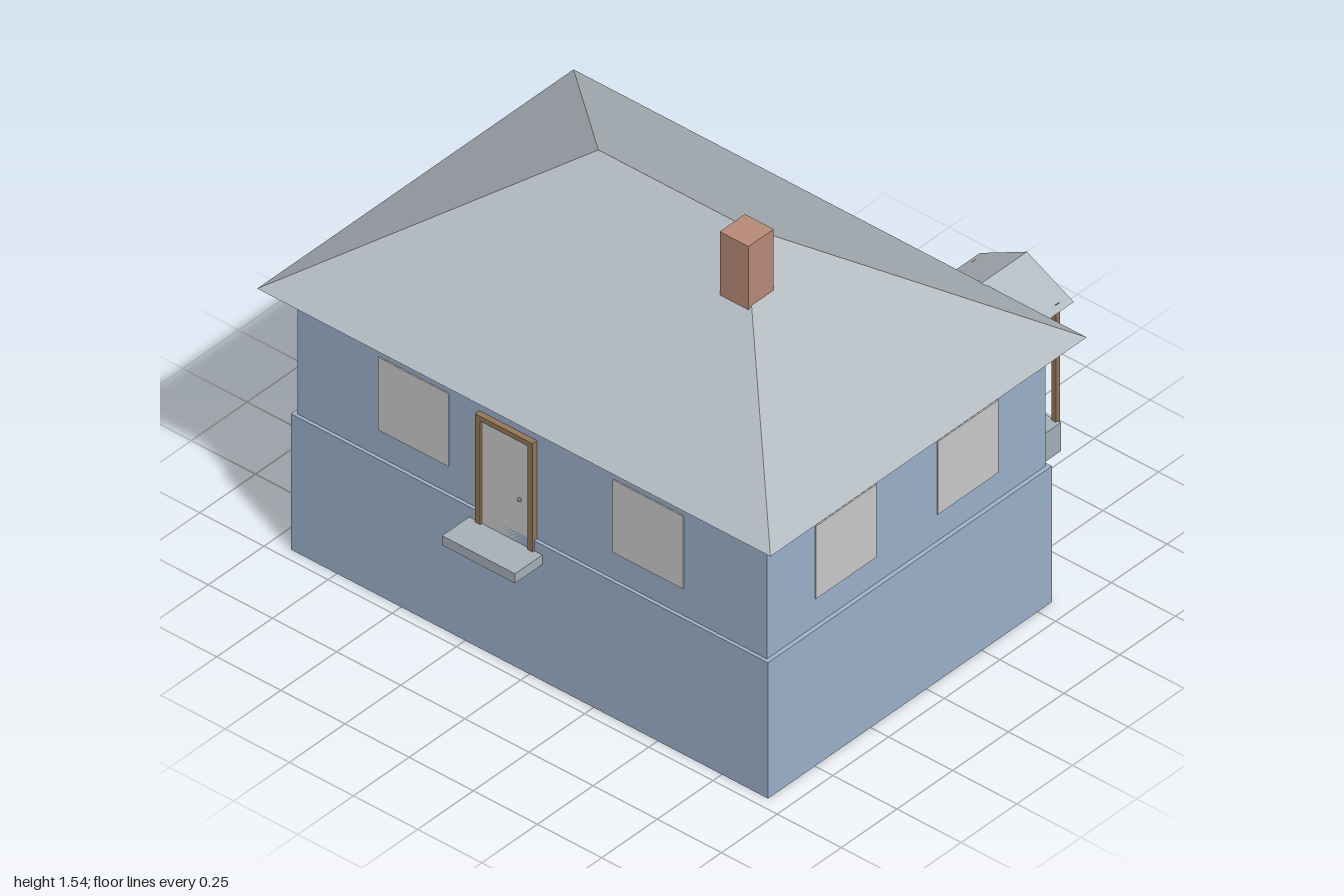
import * as THREE from 'three';

const mat = (name, color, side = THREE.FrontSide) => {
  const m = new THREE.MeshStandardMaterial({ color, side });
  m.name = name;
  return m;
};

export function createModel() {
  const house = new THREE.Group();
  house.name = 'house';
  const wall = mat('wall blue', 0x9db2cc);
  const roofGrey = mat('roof grey', 0xb2bac1);
  const porchGrey = mat('porch roof grey', 0xb2bac1, THREE.DoubleSide);
  const stone = mat('stone grey', 0xa8b1ba);
  const brick = mat('chimney brick', 0xbb8b78);
  const wood = mat('wood brown', 0x95785a);
  const pale = mat('door and window pale grey', 0xcccccc);
  const metal = mat('knob metal', 0x8c7f70);

  const add = (parent, name, geometry, material) => {
    const mesh = new THREE.Mesh(geometry, material);
    mesh.name = name;
    parent.add(mesh);
    return mesh;
  };
  // Box given by its limits on each axis
  const box = (parent, name, material, [x0, x1], [y0, y1], [z0, z1]) => {
    const mesh = add(parent, name, new THREE.BoxGeometry(x1 - x0, y1 - y0, z1 - z0), material);
    mesh.position.set((x0 + x1) / 2, (y0 + y1) / 2, (z0 + z1) / 2);
    return mesh;
  };
  // Flat-faced surface from polygons, corners anticlockwise from outside
  const faces = (corners, polygons) => {
    const pos = [];
    for (const p of polygons)
      for (let i = 1; i < p.length - 1; i++)
        for (const k of [p[0], p[i], p[i + 1]]) pos.push(...corners[k]);
    const g = new THREE.BufferGeometry();
    g.setAttribute('position', new THREE.Float32BufferAttribute(pos, 3));
    g.computeVertexNormals();
    return g;
  };

  // Walls
  box(house, 'lowerWalls', wall, [-0.93, 0.93], [0, 0.5], [-0.565, 0.71]);
  box(house, 'upperWalls', wall, [-0.915, 0.915], [0.5, 0.966], [-0.553, 0.698]);

  // Hipped roof and its wooden soffit
  const eave = 0.966;
  const corners = [
    [-1, eave, 0.78], [1, eave, 0.78], [1, eave, -0.64], [-1, eave, -0.64],
    [-0.287, 1.425, 0.07], [0.287, 1.425, 0.07],
  ];
  add(house, 'roof', faces(corners, [[0, 1, 5, 4], [1, 2, 5], [2, 3, 4, 5], [3, 0, 4]]), roofGrey);
  add(house, 'soffit', faces(corners, [[0, 3, 2, 1]]), wood);

  box(house, 'chimney', brick, [0.345, 0.457], [1.29, 1.54], [0.14, 0.253]);

  // Windows: thin panes on the four walls
  const wy = [0.6, 0.868];
  const t = 0.004;
  for (const x of [[-0.598, -0.323], [0.317, 0.592]])
    box(house, 'frontWindow', pale, x, wy, [0.698, 0.698 + t]);
  for (const x of [[-0.695, -0.41], [-0.112, 0.165]])
    box(house, 'backWindow', pale, x, wy, [-0.553 - t, -0.553]);
  for (const z of [[-0.337, -0.065], [0.21, 0.482]]) {
    box(house, 'leftWindow', pale, [0.915, 0.915 + t], wy, z);
    box(house, 'rightWindow', pale, [-0.915 - t, -0.915], wy, z);
  }

  // Door with a frame; local z = 0 lies on the wall
  const door = (name, knobX) => {
    const g = new THREE.Group();
    g.name = name;
    const depth = [-0.005, 0.02];
    for (const s of [-1, 1]) {
      const jamb = [s * 0.112, s * 0.092].sort((a, b) => a - b);
      box(g, 'doorJamb', wood, jamb, [0.462, 0.862], depth);
    }
    box(g, 'doorLintel', wood, [-0.092, 0.092], [0.844, 0.862], depth);
    box(g, 'doorPanel', pale, [-0.092, 0.092], [0.462, 0.844], [-0.005, 0.012]);
    add(g, 'doorKnob', new THREE.SphereGeometry(0.007, 10, 8), metal).position.set(knobX, 0.63, 0.02);
    house.add(g);
    return g;
  };
  door('frontDoor', 0.06).position.set(-0.093, 0, 0.698);
  const backDoor = door('backDoor', -0.06);
  backDoor.rotation.y = Math.PI;
  backDoor.position.set(0.6, 0, -0.553);

  box(house, 'frontStep', stone, [-0.235, 0.05], [0.428, 0.463], [0.69, 0.832]);

  // Back porch: slab, two posts and an open gable roof
  const porch = new THREE.Group();
  porch.name = 'backPorch';
  house.add(porch);
  box(porch, 'porchSlab', stone, [0.425, 0.775], [0.355, 0.46], [-0.783, -0.55]);
  for (const x of [0.445, 0.755])
    box(porch, 'porchPost', wood, [x - 0.008, x + 0.008], [0.42, 0.892], [-0.792, -0.774]);
  const gable = [];
  for (const z of [-0.553, -0.832]) gable.push([0.417, 0.88, z], [0.6, 0.975, z], [0.783, 0.88, z]);
  add(porch, 'porchRoof', faces(gable, [[0, 1, 4, 3], [1, 2, 5, 4]]), porchGrey);

  return house;
}
